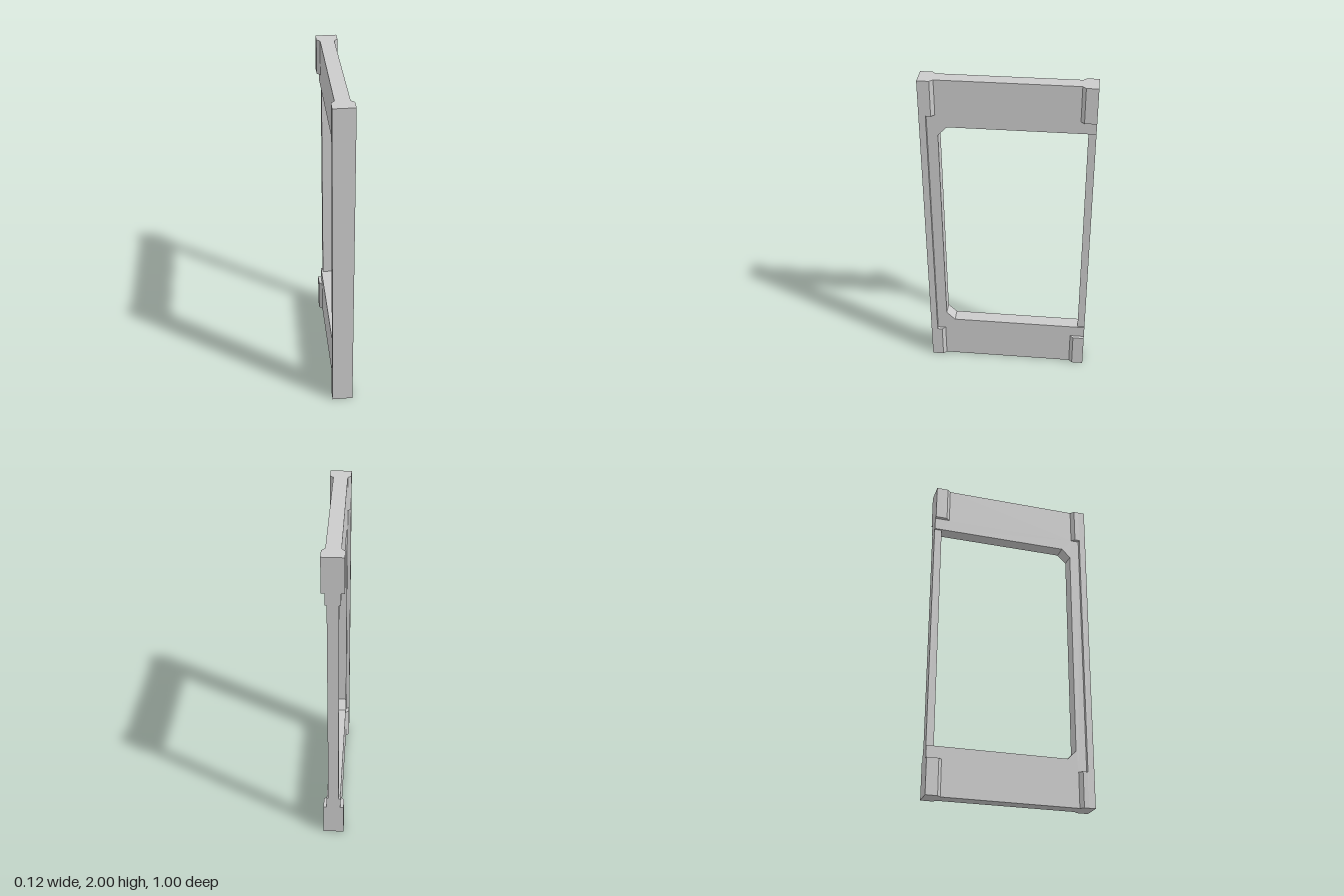
import * as THREE from 'three';

const material = new THREE.MeshStandardMaterial({ color: 0xcccccc, flatShading: true });
const HALF = 0.0625;   // half width of posts and corner blocks
const PLATE = 0.042;   // half thickness of the plate
const BLOCK = 0.215;   // corner block height
const RAIL = 0.29;     // height of bottom and top rails

function add(group, name, geometry, x = 0, y = 0, z = 0) {
  const mesh = new THREE.Mesh(geometry, material);
  mesh.name = name;
  mesh.position.set(x, y, z);
  group.add(mesh);
  return mesh;
}

function extrude(points, depth) {
  const shape = new THREE.Shape(points.map(([x, y]) => new THREE.Vector2(x, y)));
  return new THREE.ExtrudeGeometry(shape, { depth, bevelEnabled: false });
}

// C-shaped plate, drawn as (z, y) and extruded across x
function plateGeometry() {
  const lower = [
    [-0.455, RAIL], [-0.5, RAIL], [-0.5, BLOCK], [-0.41, BLOCK], [-0.41, 0],
    [0.41, 0], [0.41, BLOCK], [0.46, BLOCK],
  ];
  const upper = lower.map(([z, y]) => [z, 2 - y]).reverse();
  const opening = [[0.345, 2 - RAIL], [0.398, 1.657], [0.398, 0.343], [0.345, RAIL]];
  return extrude([...lower, ...upper, ...opening.map(([z, y]) => [z, y])], PLATE * 2)
    .translate(0, 0, -PLATE)
    .rotateY(-Math.PI / 2);
}

// Corner block with chamfers towards the plate; side is +1 front, -1 rear
function blockGeometry(side) {
  const outer = side > 0 ? 0.46 : 0.5;
  const points = [
    [-HALF, outer], [HALF, outer], [HALF, 0.43],
    [PLATE, 0.41], [-PLATE, 0.41], [-HALF, 0.43],
  ].map(([x, z]) => [x, -z * side]);
  return extrude(points, BLOCK).rotateX(-Math.PI / 2);
}

export function createModel() {
  const model = new THREE.Group();
  model.name = 'frame';

  add(model, 'plate', plateGeometry());
  add(model, 'frontPost', new THREE.BoxGeometry(HALF * 2, 2, 0.04), 0, 1, 0.48);
  add(model, 'rearPost', new THREE.BoxGeometry(0.064, 2 - RAIL * 2, 0.045), 0, 1, -0.4775);

  for (const [sideName, side] of [['front', 1], ['rear', -1]]) {
    add(model, `${sideName}BottomBlock`, blockGeometry(side));
    add(model, `${sideName}TopBlock`, blockGeometry(side), 0, 2 - BLOCK, 0);
  }
  return model;
}
